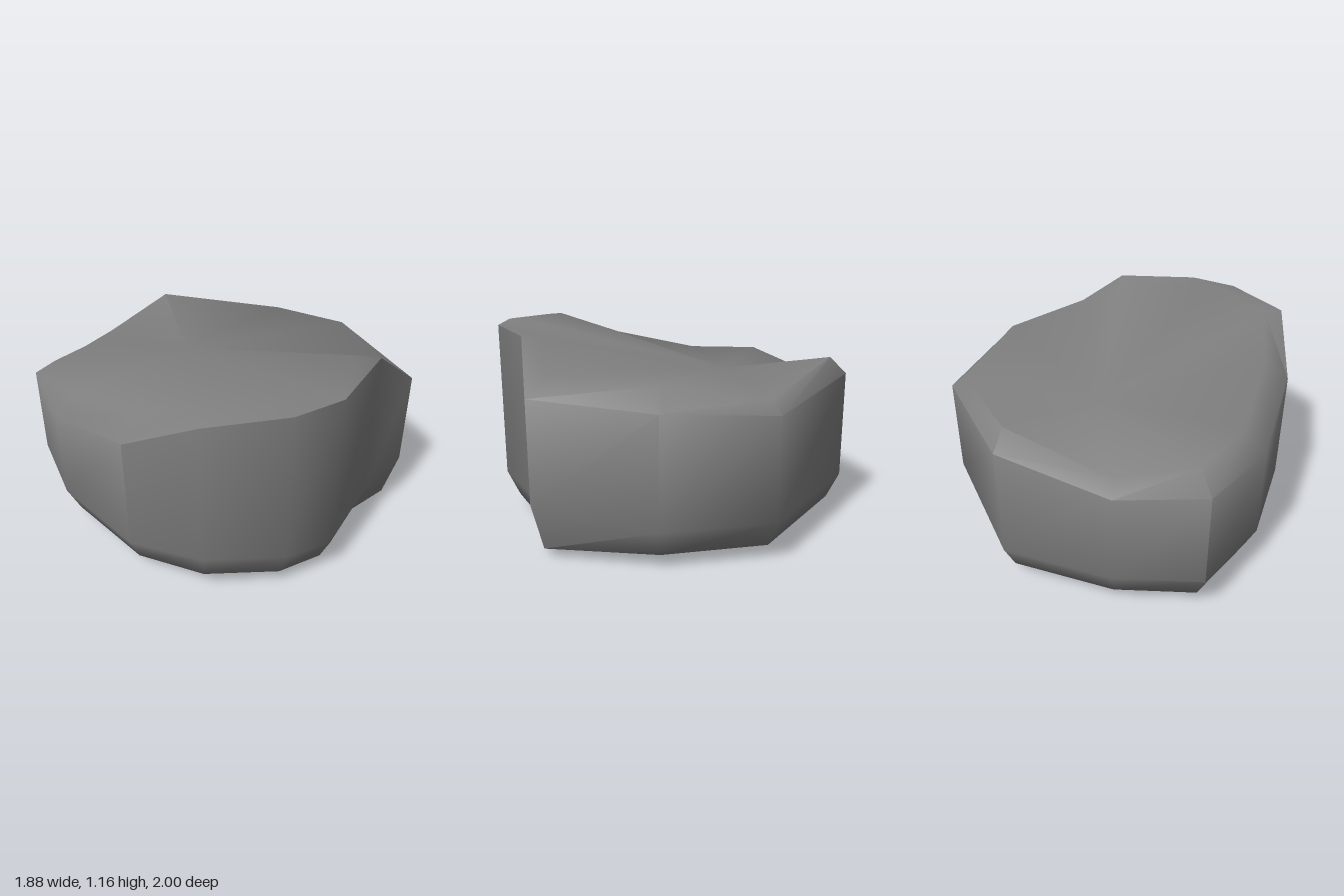
import * as THREE from 'three';
import { toCreasedNormals } from 'three/addons/utils/BufferGeometryUtils.js';

// One row per corner of the boulder, going round from the back:
// wall x, z | height of base edge, wall foot, wall top | shoulder x, y, z
const corners = [
  [-0.32, -1.00, 0.08, 0.23, 0.74, -0.29, 0.80, -0.91],
  [0.31, -1.00, 0.08, 0.23, 0.86, 0.30, 0.96, -0.90],
  [0.94, -0.37, 0.08, 0.23, 0.80, 0.86, 0.865, -0.35],
  [0.94, 0.25, 0.08, 0.23, 0.84, 0.83, 0.955, 0.22],
  [0.66, 0.87, 0.05, 0.32, 0.88, 0.55, 0.97, 0.77],
  [0.31, 0.87, 0.08, 0.25, 1.14, 0.28, 1.12, 0.75],
  [-0.16, 1.00, 0.08, 0.23, 1.14, -0.16, 1.14, 0.88],
  [-0.45, 0.935, 0.10, 0.27, 1.14, -0.31, 1.16, 0.87],
  [-0.81, 0.68, 0.14, 0.31, 1.12, -0.72, 1.135, 0.60],
  [-0.945, 0.25, 0.08, 0.23, 0.88, -0.81, 0.985, 0.20],
  [-0.945, -0.37, 0.08, 0.23, 0.75, -0.82, 0.86, -0.34],
  [-0.775, -0.86, 0.08, 0.23, 0.77, -0.69, 0.86, -0.76],
];

function boulderGeometry() {
  const n = corners.length;
  // Rings from the underside up to the shoulder
  const rings = [
    corners.map(([x, z], i) => [x * 0.79, i === 4 ? 0 : 0.02, z * 0.77]),
    corners.map(([x, z, base]) => [x * 0.93, base, z * 0.93]),
    corners.map(([x, z, , foot]) => [x, foot, z]),
    corners.map(([x, z, , , top]) => [x, top, z]),
    corners.map((c) => c.slice(5)),
  ];
  const positions = [];
  const triangle = (a, b, c) => positions.push(...a, ...b, ...c);

  for (let i = 0; i < n; i++) {
    const j = (i + 1) % n;
    // Sides
    for (let r = 0; r < rings.length - 1; r++) {
      const low = rings[r], high = rings[r + 1];
      triangle(low[i], high[i], low[j]);
      triangle(low[j], high[i], high[j]);
    }
    // Underside and sloping top, lowest towards the back
    triangle([0, 0.02, 0.2], rings[0][i], rings[0][j]);
    triangle([0, 0.86, -0.34], rings[4][j], rings[4][i]);
  }
  const geometry = new THREE.BufferGeometry();
  geometry.setAttribute('position', new THREE.Float32BufferAttribute(positions, 3));
  // Soft shoulders, sharp front rim and base edge
  return toCreasedNormals(geometry, 0.93);
}

export function createModel() {
  const model = new THREE.Group();
  model.name = 'rock';
  const boulder = new THREE.Mesh(
    boulderGeometry(),
    new THREE.MeshStandardMaterial({ color: 0x808080 }),
  );
  boulder.name = 'boulder';
  model.add(boulder);
  return model;
}
